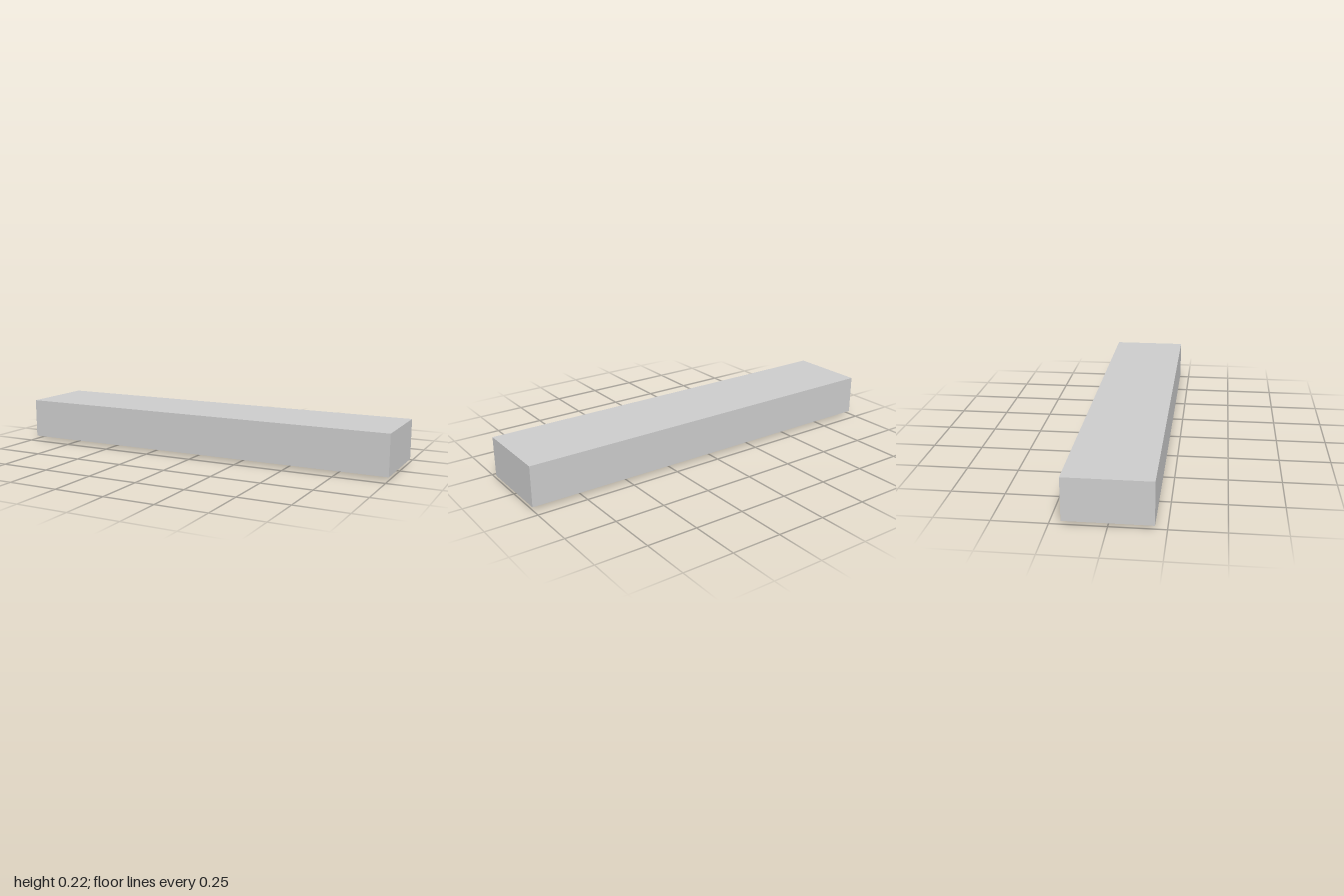
import * as THREE from 'three';

const material = new THREE.MeshStandardMaterial({ color: 0xcccccc });

// Box given by its minimum and maximum corners
function block(name, min, max) {
  const size = max.map((v, i) => v - min[i]);
  const mesh = new THREE.Mesh(new THREE.BoxGeometry(...size), material);
  mesh.name = name;
  mesh.position.set(...max.map((v, i) => (v + min[i]) / 2));
  return mesh;
}

// U-shaped pull: two legs and a grip bar
function makeHandle(x) {
  const handle = new THREE.Group();
  handle.name = 'handle';
  const x0 = x - 0.006, x1 = x + 0.006;
  handle.add(
    block('grip', [x0, 0, -0.125], [x1, 0.006, -0.075]),
    block('frontLeg', [x0, 0.006, -0.08], [x1, 0.0145, -0.075]),
    block('backLeg', [x0, 0.006, -0.125], [x1, 0.0145, -0.121]),
  );
  return handle;
}

export function createModel() {
  const cabinet = new THREE.Group();
  cabinet.name = 'cabinet';

  // Long carcass lying with its doors facing down
  cabinet.add(block('carcass', [-1, 0.0155, -0.198], [1, 0.217, 0.198]));

  // Thin doors: right edge of each door and the handle position
  const doors = [
    [0.735, 0.78], [0.455, 0.5], [0.174, 0.355], [-0.108, -0.065],
    [-0.388, -0.345], [-0.668, -0.625], [-0.975, -0.93],
  ];
  for (const [edge, handleX] of doors) {
    cabinet.add(block('door', [edge, 0.014, -0.155], [edge + 0.23, 0.0155, 0.155]));
    cabinet.add(makeHandle(handleX));
  }
  return cabinet;
}
